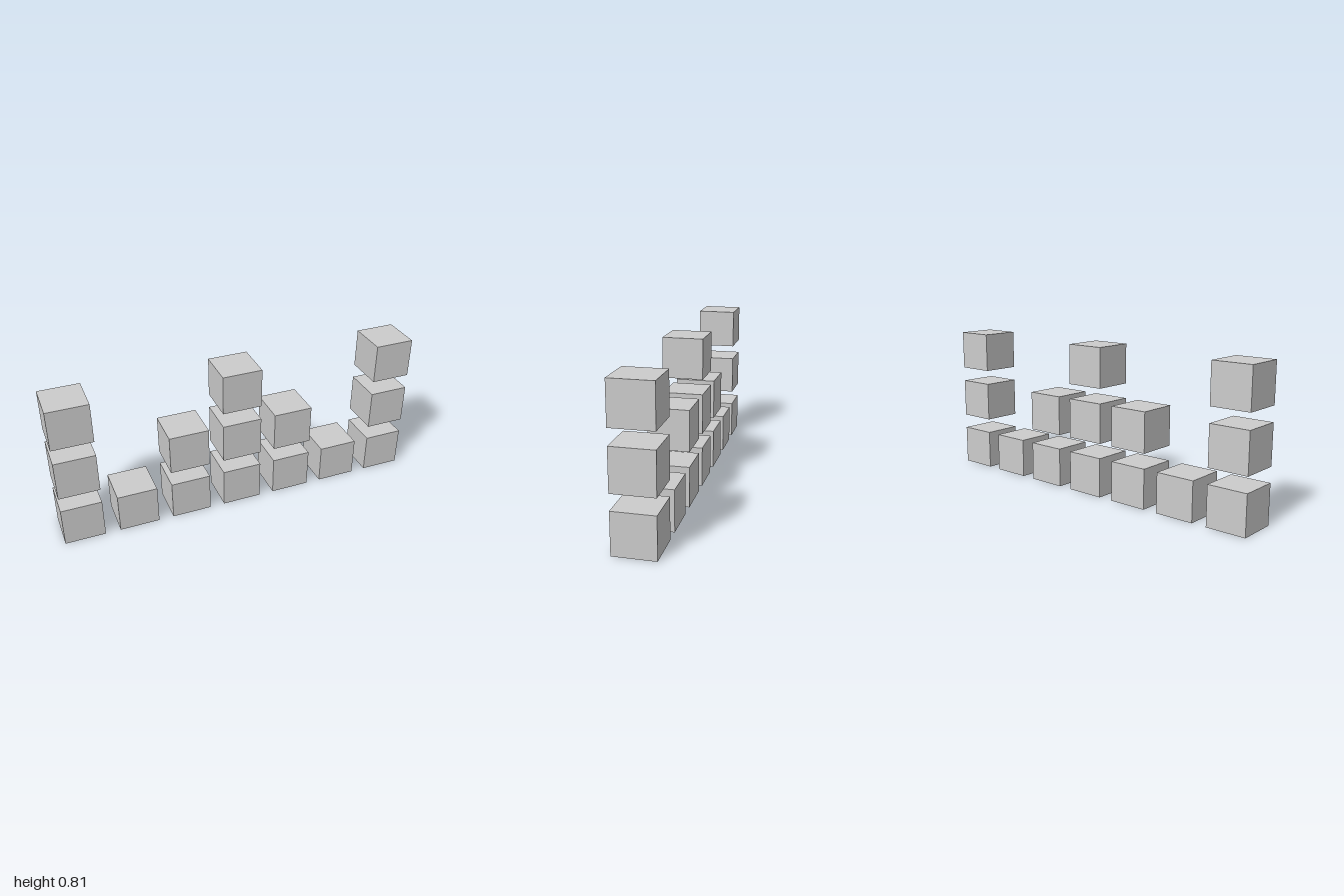
import * as THREE from 'three';

const SIZE = 0.2162;   // cube edge
const PITCH = 0.2973;  // spacing between cube centres
const HEIGHTS = [3, 1, 2, 3, 2, 1, 3]; // cubes stacked in each column

export function createModel() {
  const model = new THREE.Group();
  model.name = 'cubeCrown';
  const geometry = new THREE.BoxGeometry(SIZE, SIZE, SIZE);
  const material = new THREE.MeshStandardMaterial({ color: 0xcccccc, flatShading: true });

  // Columns of floating cubes, centred on x = 0 and standing on y = 0
  HEIGHTS.forEach((count, i) => {
    const column = new THREE.Group();
    column.name = `column${i + 1}`;
    column.position.x = (i - (HEIGHTS.length - 1) / 2) * PITCH;
    for (let level = 0; level < count; level++) {
      const cube = new THREE.Mesh(geometry, material);
      cube.name = `cube${level + 1}`;
      cube.position.y = SIZE / 2 + level * PITCH;
      column.add(cube);
    }
    model.add(column);
  });
  return model;
}
